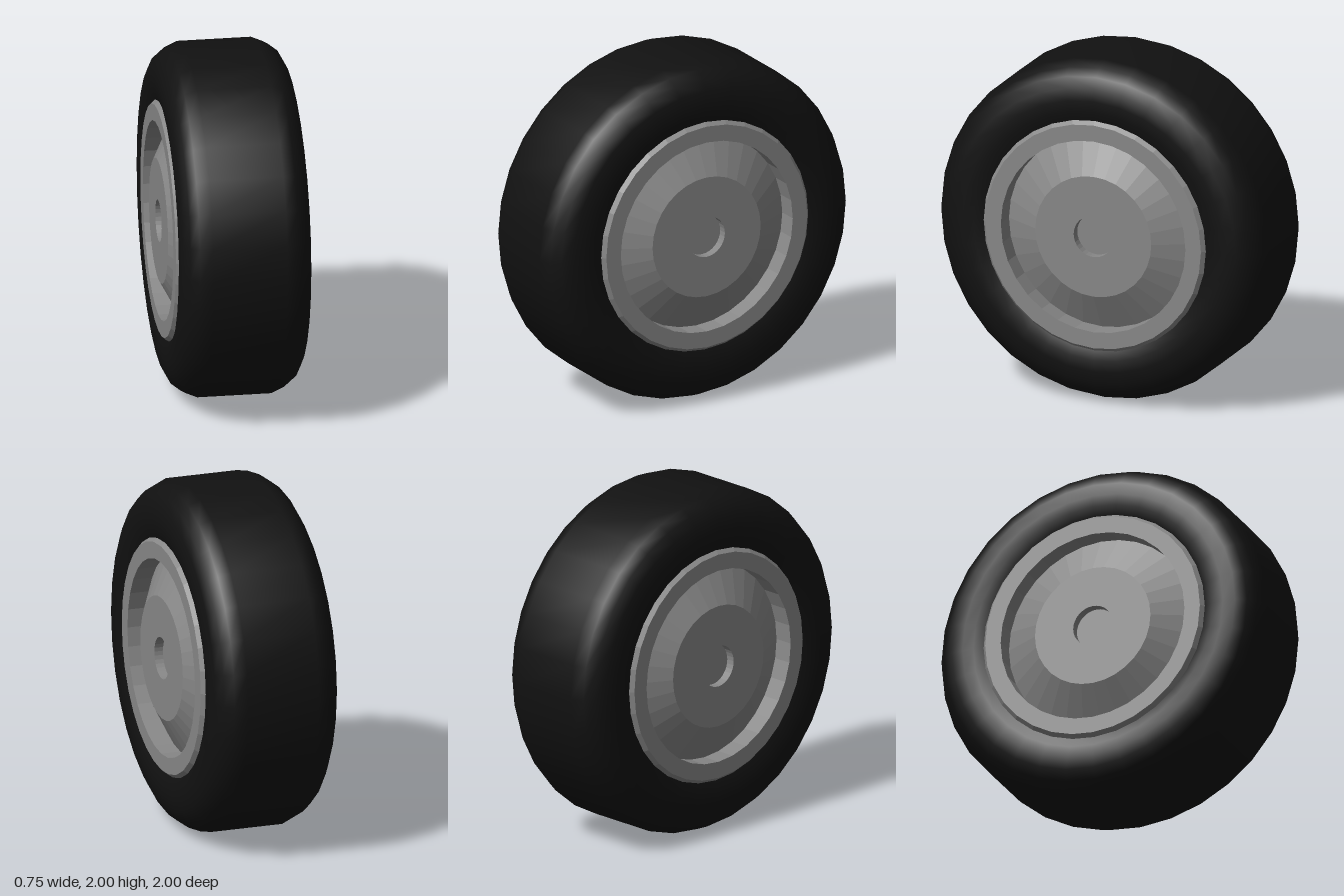
import * as THREE from 'three';

const SIDES = 32;
const tyreMaterial = new THREE.MeshStandardMaterial({ color: 0x111111, side: THREE.DoubleSide });
const rimMaterial = new THREE.MeshStandardMaterial({ color: 0x888888, flatShading: true, side: THREE.DoubleSide });

// Revolves [radius, x] points, listed towards +x, around the axle (the x axis)
function revolve(name, points, material) {
  const geometry = new THREE.LatheGeometry(points.map(([r, x]) => new THREE.Vector2(r, x)), SIDES);
  geometry.rotateZ(-Math.PI / 2);
  const mesh = new THREE.Mesh(geometry, material);
  mesh.name = name;
  return mesh;
}

// Flange and dished disc on the +x side
function createRimSide(name) {
  const side = new THREE.Group();
  side.name = name;
  side.add(
    // Chamfered outer lip, flat face and inner wall
    revolve('rimFlange', [[0.68, 0.3], [0.68, 0.35], [0.66, 0.373], [0.565, 0.373], [0.565, 0.26]], rimMaterial),
    // Raised cone with a flat centre
    revolve('wheelDisc', [[0.565, 0.26], [0.355, 0.371], [0.12, 0.371]], rimMaterial),
    // Round axle recess
    revolve('axleRecess', [[0.12, 0.371], [0.12, 0.32], [0, 0.32]], rimMaterial),
  );
  return side;
}

export function createModel() {
  const wheel = new THREE.Group();
  wheel.name = 'wheel';

  // Tyre with rounded shoulders, beads tucked under the flanges
  const half = [[1, 0.21], [0.97, 0.28], [0.93, 0.33], [0.87, 0.362], [0.8, 0.371], [0.735, 0.368], [0.68, 0.35], [0.66, 0.34]];
  const profile = [...half.map(([r, x]) => [r, -x]).reverse(), ...half];
  wheel.add(revolve('tyre', profile, tyreMaterial));

  // Both faces of the wheel are alike
  const left = createRimSide('leftRim');
  const right = createRimSide('rightRim');
  right.rotation.y = Math.PI;
  wheel.add(left, right);

  wheel.position.y = 1;
  const model = new THREE.Group();
  model.add(wheel);
  return model;
}
